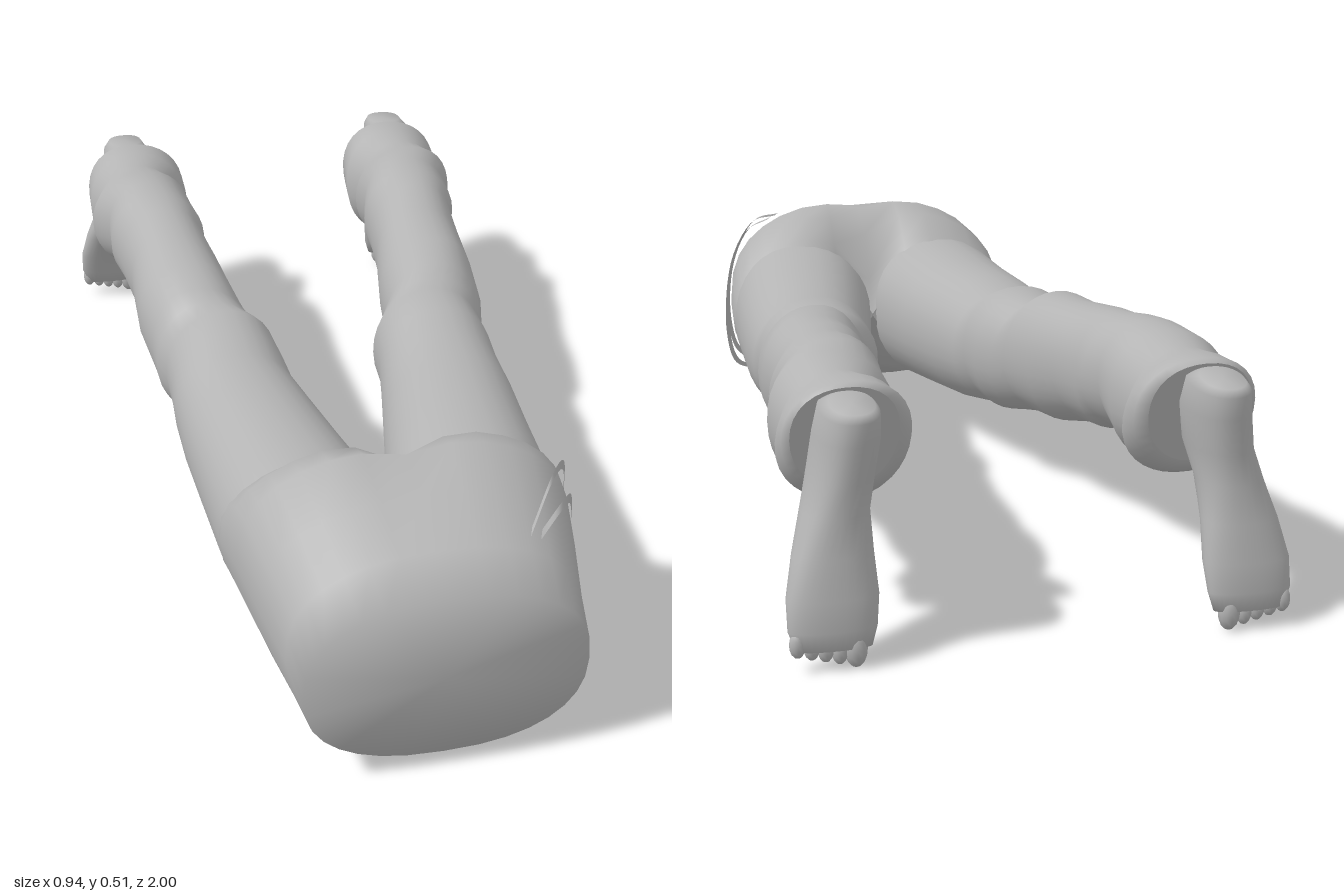
import * as THREE from 'three';

const SEGMENTS = 32;

// Skin a list of closed rings; the start cap can share vertices for soft shading.
function loft(rings, softStart, softEnd) {
  const n = rings[0].length, pos = [], index = [];
  rings.forEach(r => r.forEach(p => pos.push(p.x, p.y, p.z)));
  for (let i = 0; i < rings.length - 1; i++) {
    for (let j = 0; j < n; j++) {
      const a = i * n + j, b = i * n + (j + 1) % n;
      index.push(a, a + n, b, b, a + n, b + n);
    }
  }
  const cap = (ring, base, start, soft) => {
    const first = soft ? base : pos.length / 3;
    if (!soft) ring.forEach(p => pos.push(p.x, p.y, p.z));
    const c = ring.reduce((s, p) => s.add(p), new THREE.Vector3()).divideScalar(n);
    const mid = pos.length / 3;
    pos.push(c.x, c.y, c.z);
    for (let j = 0; j < n; j++) {
      const a = first + j, b = first + (j + 1) % n;
      if (start) index.push(mid, a, b); else index.push(mid, b, a);
    }
  };
  cap(rings[0], 0, true, softStart);
  cap(rings[rings.length - 1], (rings.length - 1) * n, false, softEnd);
  const g = new THREE.BufferGeometry();
  g.setAttribute('position', new THREE.Float32BufferAttribute(pos, 3));
  g.setIndex(index);
  g.computeVertexNormals();
  return g;
}

// One superellipse ring, each point placed by a callback.
function ring(power, place) {
  return Array.from({ length: SEGMENTS }, (_, j) => {
    const t = j / SEGMENTS * Math.PI * 2;
    const c = Math.cos(t), s = Math.sin(t);
    return place(Math.sign(c) * Math.abs(c) ** (2 / power), Math.sign(s) * Math.abs(s) ** (2 / power), t);
  });
}

// Hips: z, half width, bottom, top, upper notch, lower notch
function pelvisGeometry() {
  const sections = [
    [0.99, 0.27, 0.035, 0.41, 0, 0],
    [0.90, 0.285, 0.035, 0.445, 0, 0],
    [0.78, 0.31, 0.036, 0.49, 0.01, 0],
    [0.66, 0.333, 0.052, 0.517, 0.022, 0.005],
    [0.60, 0.342, 0.066, 0.50, 0.06, 0.04],
    [0.55, 0.346, 0.077, 0.455, 0.12, 0.10],
    [0.51, 0.342, 0.09, 0.42, 0.17, 0.16],
  ];
  return loft(sections.map(([z, rx, yb, yt, up, low], i) => ring(2.4, (c, s) => {
    const x = rx * c, dip = Math.exp(-((x / 0.07) ** 2));
    const y = (yb + yt) / 2 + (yt - yb) / 2 * s - dip * (s > 0 ? up * s : low * s);
    return new THREE.Vector3(x, y, z + (i === 0 ? 0.01 * s : 0));
  })), true, false);
}

// Trouser leg: z, inner x, outer x, bottom, top, cuff slant
const LEG = [
  [0.57, 0.01, 0.335, 0.085, 0.43, 0],
  [0.50, 0.008, 0.346, 0.084, 0.428, 0],
  [0.35, 0.038, 0.355, 0.098, 0.415, 0],
  [0.20, 0.07, 0.364, 0.112, 0.41, 0],
  [0.08, 0.095, 0.366, 0.135, 0.402, 0],
  [0.02, 0.105, 0.364, 0.148, 0.425, 0],
  [-0.05, 0.11, 0.362, 0.152, 0.425, 0.02],
  [-0.10, 0.132, 0.378, 0.16, 0.422, 0.02],
  [-0.14, 0.155, 0.385, 0.172, 0.447, 0],
  [-0.25, 0.172, 0.397, 0.188, 0.455, 0],
  [-0.38, 0.192, 0.398, 0.222, 0.472, 0],
  [-0.48, 0.204, 0.408, 0.238, 0.483, 0],
  [-0.54, 0.20, 0.425, 0.258, 0.49, 0],
  [-0.60, 0.215, 0.422, 0.262, 0.498, 0],
  [-0.67, 0.212, 0.452, 0.235, 0.493, 0],
  [-0.72, 0.232, 0.438, 0.245, 0.474, 0.02],
  [-0.77, 0.208, 0.45, 0.226, 0.482, 0.03],
  [-0.82, 0.21, 0.448, 0.25, 0.486, 0.03],
  [-0.83, 0.235, 0.435, 0.272, 0.478, 0.03],
];

function legGeometry(side) {
  return loft(LEG.map(([z, x0, x1, yb, yt, slant]) => ring(2.15, (c, s, t) => {
    const fold = z < 0 ? 1 + 0.02 * Math.sin(3 * t + z * 30) : 1;
    return new THREE.Vector3(
      side * (x0 + x1) / 2 + (x1 - x0) / 2 * c * fold,
      (yb + yt) / 2 + (yt - yb) / 2 * s * fold,
      z - slant * s);
  })), false, false);
}

// Foot hanging toes down: y, inner x, outer x, sole z, instep z
const FOOT = [
  [0.465, 0.30, 0.38, -0.97, -0.87],
  [0.45, 0.288, 0.395, -0.977, -0.82],
  [0.40, 0.285, 0.402, -0.974, -0.79],
  [0.33, 0.295, 0.412, -0.966, -0.785],
  [0.27, 0.307, 0.43, -0.966, -0.83],
  [0.20, 0.306, 0.452, -0.976, -0.885],
  [0.13, 0.302, 0.468, -0.992, -0.922],
  [0.075, 0.308, 0.468, -0.998, -0.945],
  [0.04, 0.318, 0.455, -0.995, -0.958],
];

function footGeometry(side) {
  return loft(FOOT.map(([y, x0, x1, z0, z1]) => ring(2.2, (c, s) => new THREE.Vector3(
    side * (x0 + x1) / 2 + (x1 - x0) / 2 * c,
    y + (y > 0.44 ? -0.008 * s : 0),
    (z0 + z1) / 2 - (z1 - z0) / 2 * s))), true, true);
}

// Thin strap following a curve around the hip
function strapGeometry(points, width) {
  const curve = new THREE.CatmullRomCurve3(points.map(p => new THREE.Vector3(...p)));
  const g = new THREE.PlaneGeometry(1, 1, 30, 1), p = g.attributes.position;
  for (let i = 0; i < p.count; i++) {
    const q = curve.getPoint(p.getX(i) + 0.5), k = p.getY(i) * width;
    p.setXYZ(i, q.x - k * 0.4, q.y, q.z + k);
  }
  g.computeVertexNormals();
  return g;
}

export function createModel() {
  const model = new THREE.Group();
  model.name = 'lowerBody';
  const grey = new THREE.MeshStandardMaterial({ color: 0xb4b4b4, side: THREE.DoubleSide });
  grey.name = 'plain grey';
  const add = (name, geometry, parent = model) => {
    const mesh = new THREE.Mesh(geometry, grey);
    mesh.name = name;
    parent.add(mesh);
    return mesh;
  };

  add('hips', pelvisGeometry());

  for (const side of [1, -1]) {
    const label = side > 0 ? 'left' : 'right';
    add(label + 'TrouserLeg', legGeometry(side));
    const foot = new THREE.Group();
    foot.name = label + 'Foot';
    model.add(foot);
    add(label + 'FootBody', footGeometry(side), foot);
    // Toes, from the big toe outwards
    for (let i = 0; i < 5; i++) {
      const r = i === 0 ? 0.021 : 0.015;
      const toe = add(label + 'Toe', new THREE.SphereGeometry(r, 12, 8), foot);
      toe.scale.set(1, 1.7, 0.9);
      toe.position.set(side * (i === 0 ? 0.348 : 0.352 + i * 0.025), i === 0 ? 0.036 : 0.028 + i * 0.006, -0.978);
    }
  }

  // Two loose straps on the left hip
  add('outerHipStrap', strapGeometry([
    [0.18, 0.445, 0.88], [0.265, 0.455, 0.74], [0.335, 0.385, 0.61], [0.358, 0.265, 0.56],
    [0.34, 0.15, 0.61], [0.285, 0.078, 0.74], [0.21, 0.05, 0.86]], 0.03));
  add('innerHipStrap', strapGeometry([
    [0.20, 0.435, 0.88], [0.27, 0.425, 0.79], [0.325, 0.36, 0.69], [0.342, 0.265, 0.655],
    [0.325, 0.16, 0.69], [0.28, 0.095, 0.78], [0.22, 0.06, 0.87]], 0.03));

  return model;
}
